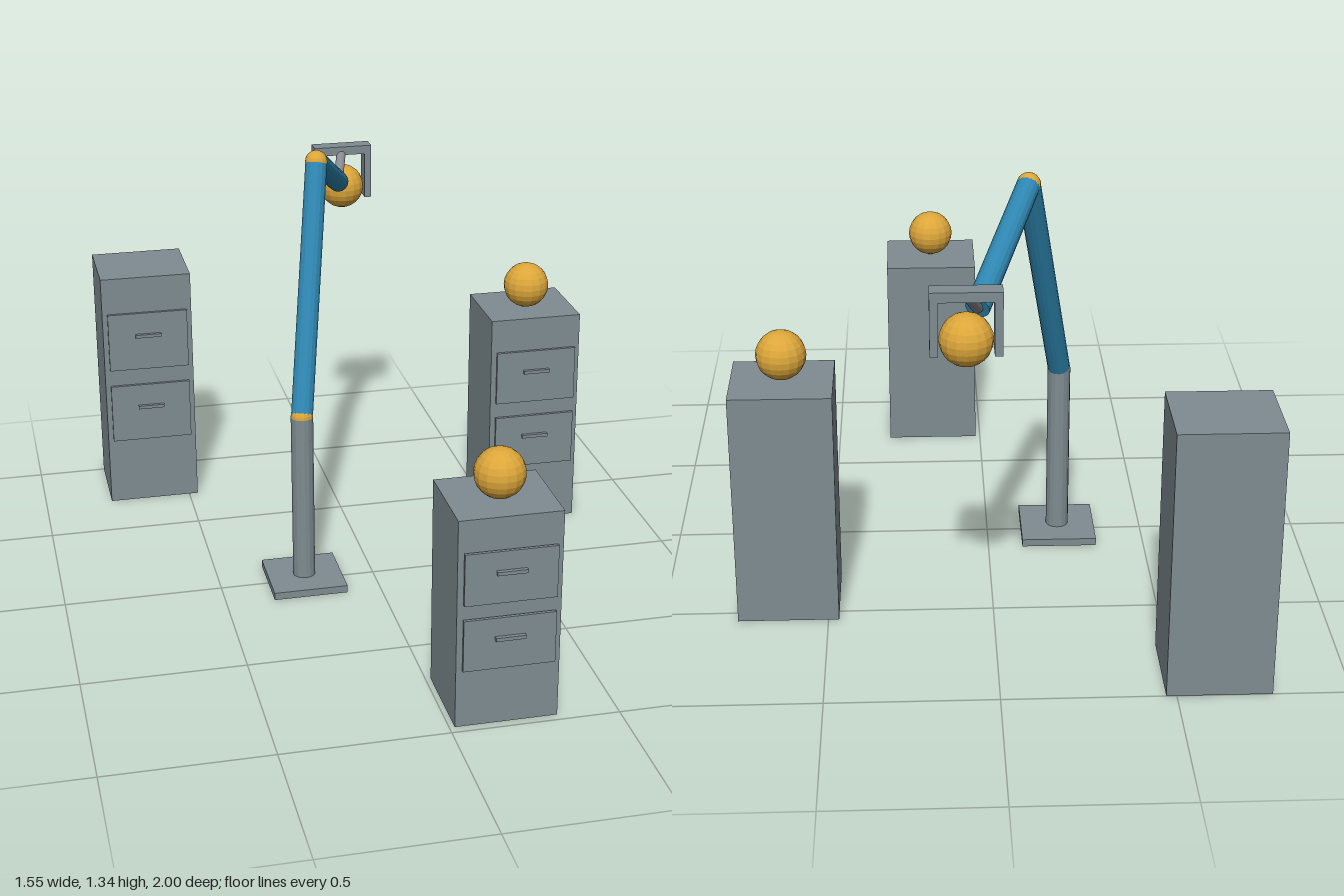
import * as THREE from 'three';

const mat = (name, color) => {
  const m = new THREE.MeshStandardMaterial({ color, flatShading: true });
  m.name = name;
  return m;
};

export function createModel() {
  const grey = mat('steel grey', 0x7f8c91);
  const rodGrey = mat('rod grey', 0x8a8a92);
  const blue = mat('arm blue', 0x2e86b0);
  const gold = mat('gold', 0xdca63a);

  const model = new THREE.Group();
  model.name = 'robotArmWorkcell';

  const add = (parent, name, geometry, material, x, y, z) => {
    const mesh = new THREE.Mesh(geometry, material);
    mesh.name = name;
    mesh.position.set(x, y, z);
    parent.add(mesh);
    return mesh;
  };
  const box = (parent, name, w, h, d, x, y, z) =>
    add(parent, name, new THREE.BoxGeometry(w, h, d), grey, x, y, z);
  const ball = (parent, name, r, x, y, z) =>
    add(parent, name, new THREE.SphereGeometry(r, 16, 12), gold, x, y, z);

  // Cylinder running between two points
  const link = (parent, name, a, b, r, material) => {
    const dir = b.clone().sub(a);
    const mid = a.clone().add(b).multiplyScalar(0.5);
    const mesh = add(parent, name, new THREE.CylinderGeometry(r, r, dir.length(), 16),
      material, mid.x, mid.y, mid.z);
    mesh.quaternion.setFromUnitVectors(new THREE.Vector3(0, 1, 0), dir.normalize());
  };

  // Two-drawer cabinets, two of them with a ball on top
  const width = 0.304, depth = 0.275, ballRadius = 0.075;
  const cabinet = (name, x, z, h, hasBall) => {
    const g = new THREE.Group();
    g.name = name;
    g.position.set(x, 0, z);
    model.add(g);
    const front = depth / 2;
    box(g, 'cabinetBody', width, h, depth, 0, h / 2, 0);
    for (const level of [0.726, 0.408]) {
      box(g, 'drawerFront', 0.27, 0.247 * h, 0.01, 0, level * h, front + 0.01);
      box(g, 'drawerHandle', 0.088, 0.011, 0.014, 0, (level + 0.026) * h, front + 0.02);
    }
    if (hasBall) ball(g, 'cabinetBall', ballRadius, 0, h + ballRadius, 0.012);
  };
  cabinet('tallCabinet', -0.622, -0.8625, 0.822, false);
  cabinet('lowCabinet', 0.168, 0.8355, 0.65, true);
  cabinet('middleCabinet', 0.62, -0.41, 0.735, true);

  // Arm: base, column, two links and their joints
  const arm = new THREE.Group();
  arm.name = 'robotArm';
  model.add(arm);
  const floor = new THREE.Vector3(-0.228, 0.024, 0);
  const shoulder = new THREE.Vector3(-0.228, 0.575, 0);
  const elbow = new THREE.Vector3(-0.107, 1.303, -0.332);
  const wrist = new THREE.Vector3(0.055, 1.1, -0.765);
  const grip = new THREE.Vector3(0.089, 1.184, -0.868);
  box(arm, 'basePlate', 0.237, 0.024, 0.237, floor.x, 0.012, 0);
  link(arm, 'column', floor, shoulder, 0.036, grey);
  ball(arm, 'shoulderJoint', 0.036, ...shoulder.toArray());
  link(arm, 'upperArm', shoulder, elbow, 0.035, blue);
  ball(arm, 'elbowJoint', 0.036, ...elbow.toArray());
  link(arm, 'forearm', elbow, wrist, 0.035, blue);
  link(arm, 'wristRod', wrist, grip, 0.016, rodGrey);

  // Gripper holding a ball
  const gripper = new THREE.Group();
  gripper.name = 'gripper';
  gripper.position.set(grip.x, 0, -0.87);
  arm.add(gripper);
  box(gripper, 'gripperBar', 0.198, 0.029, 0.056, 0, 1.184, 0);
  for (const side of [-1, 1]) {
    box(gripper, 'gripperFinger', 0.023, 0.16, 0.056, side * 0.0875, 1.094, 0);
  }
  ball(gripper, 'heldBall', ballRadius, 0, 1.053, 0);

  return model;
}
